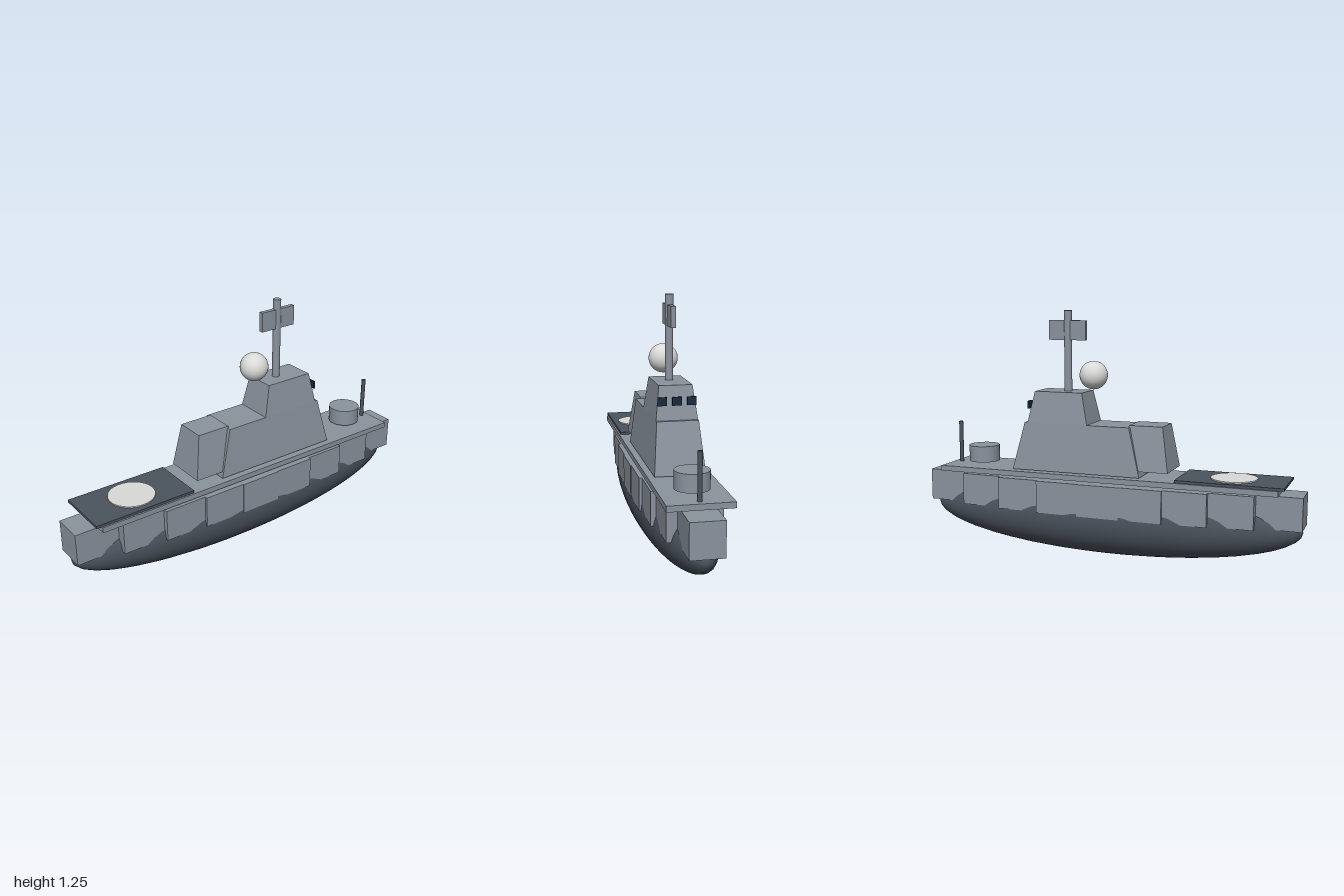
import * as THREE from 'three';

const mat = (name, color) => {
  const m = new THREE.MeshStandardMaterial({ color });
  m.name = name;
  return m;
};

export function createModel() {
  const ship = new THREE.Group();
  ship.name = 'patrolShip';
  const grey = mat('ship grey', 0x8b939e);
  const dark = mat('dark slate', 0x4b535e);
  const white = mat('off white', 0xdadad8);
  const glass = mat('window navy', 0x1a2a3e);

  const add = (name, geometry, material, x, y, z = 0) => {
    const mesh = new THREE.Mesh(geometry, material);
    mesh.name = name;
    mesh.position.set(x, y, z);
    ship.add(mesh);
    return mesh;
  };
  const box = (name, material, x0, x1, y0, y1, halfZ, z = 0) =>
    add(name, new THREE.BoxGeometry(x1 - x0, y1 - y0, halfZ * 2), material, (x0 + x1) / 2, (y0 + y1) / 2, z);
  const cylinder = (name, material, x, y0, y1, r, sides = 32) =>
    add(name, new THREE.CylinderGeometry(r, r, y1 - y0, sides), material, x, (y0 + y1) / 2);

  // Box whose top face is pulled in evenly by insetX and insetZ
  const taperedBox = (name, x0, x1, y0, y1, halfZ, insetX, insetZ) => {
    const mesh = box(name, grey, x0, x1, y0, y1, halfZ);
    const p = mesh.geometry.attributes.position;
    for (let i = 0; i < p.count; i++) {
      if (p.getY(i) < 0) continue;
      p.setX(i, p.getX(i) - Math.sign(p.getX(i)) * insetX);
      p.setZ(i, p.getZ(i) - Math.sign(p.getZ(i)) * insetZ);
    }
    mesh.geometry.computeVertexNormals();
  };

  // Rounded lower hull
  const hull = new THREE.SphereGeometry(1, 48, 24);
  hull.scale(0.995, 0.198, 0.172);
  add('lowerHull', hull, dark, 0, 0.203);

  // Stepped topsides: nine blocks following the hull's curve
  const step = 2 / 9;
  for (let i = 0; i < 9; i++) {
    const x = -1 + step * (i + 0.5);
    box('topsideBlock', grey, x - step / 2, x + step / 2, 0.225, 0.39, 0.172 * Math.sqrt(1 - x * x));
  }

  // Deck and landing pad
  box('deck', grey, -0.893, 0.893, 0.402, 0.43, 0.152);
  box('landingPad', dark, -0.92, -0.39, 0.43, 0.443, 0.143);
  cylinder('padMarking', white, -0.655, 0.441, 0.449, 0.115, 40);

  // Superstructure
  taperedBox('mainCabin', -0.205, 0.485, 0.435, 0.68, 0.122, 0.062, 0.022);
  taperedBox('aftCabin', -0.348, -0.1, 0.465, 0.689, 0.11, 0.037, 0.033);
  taperedBox('bridge', 0.08, 0.407, 0.68, 0.84, 0.1, 0.034, 0.02);
  for (const z of [-0.07, 0, 0.07]) {
    box('bridgeWindow', glass, 0.4, 0.409, 0.75, 0.79, 0.022, z);
  }

  // Mast, radar panel and dome
  cylinder('mast', grey, 0.22, 0.84, 1.25, 0.02, 24);
  box('radarPanel', grey, 0.12, 0.32, 1.1, 1.2, 0.012);
  add('radarDome', new THREE.SphereGeometry(0.072, 32, 24), white, 0.08, 0.925);

  // Foredeck fittings
  cylinder('turret', grey, 0.714, 0.445, 0.53, 0.081);
  cylinder('bowPole', dark, 0.855, 0.395, 0.65, 0.011, 16);

  return ship;
}
